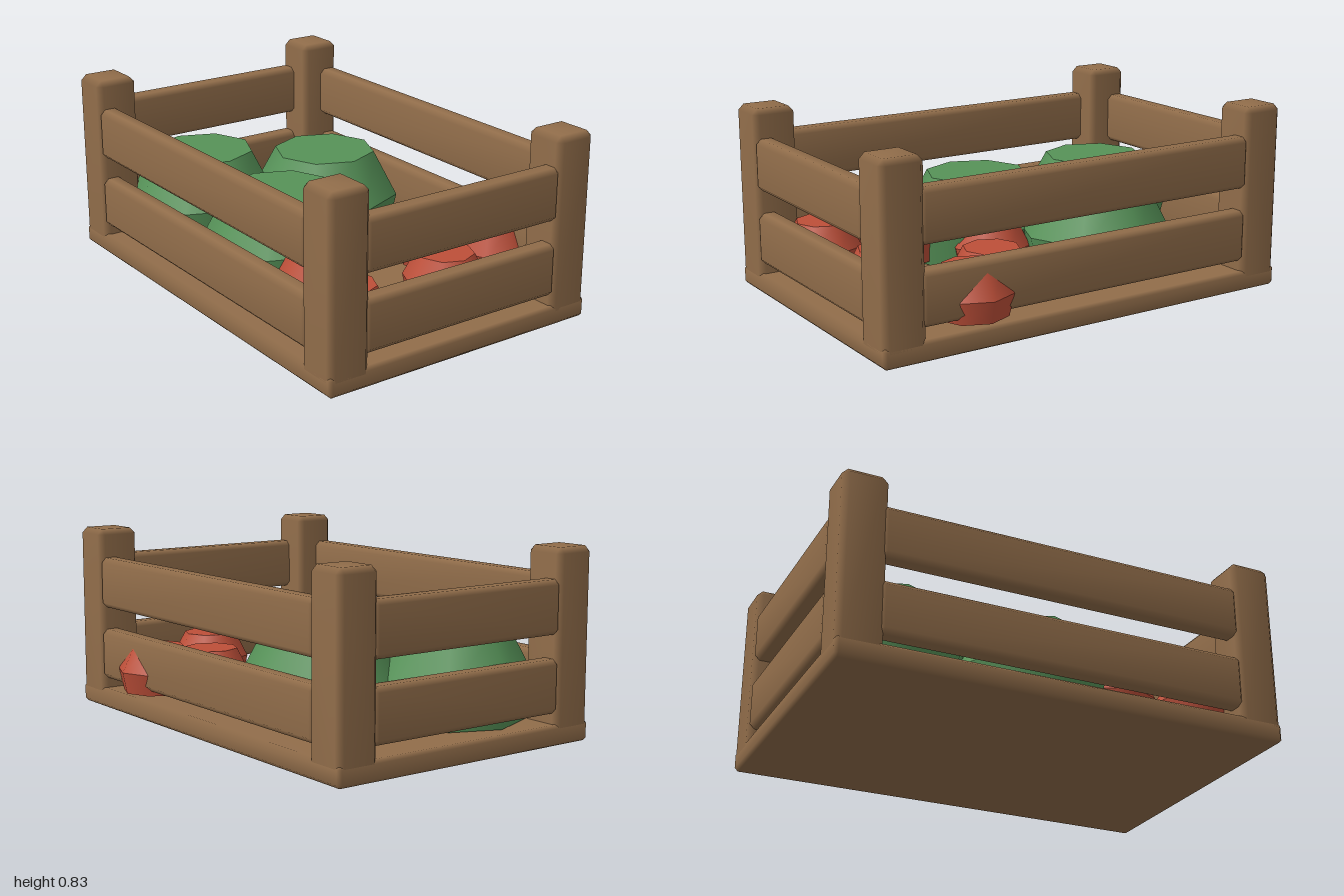
import * as THREE from 'three';
import { mergeVertices } from 'three/addons/utils/BufferGeometryUtils.js';
import { ConvexGeometry } from 'three/addons/geometries/ConvexGeometry.js';

const material = (name, color) => {
  const m = new THREE.MeshStandardMaterial({ color });
  m.name = name;
  return m;
};

// Box with chamfered edges and softly blended normals
function chamferBox(w, h, d, c) {
  const points = [];
  for (const x of [-w / 2, w / 2]) for (const y of [-h / 2, h / 2]) for (const z of [-d / 2, d / 2]) {
    const cx = Math.sign(x) * c, cy = Math.sign(y) * c, cz = Math.sign(z) * c;
    points.push(
      new THREE.Vector3(x, y - cy, z - cz),
      new THREE.Vector3(x - cx, y, z - cz),
      new THREE.Vector3(x - cx, y - cy, z));
  }
  let geometry = new ConvexGeometry(points);
  geometry.deleteAttribute('normal');
  geometry = mergeVertices(geometry, 1e-4);
  geometry.computeVertexNormals();
  return geometry;
}

export function createModel() {
  const wood = material('wood', 0x916d4a);
  const green = material('cabbage green', 0x569258);
  const red = material('tomato red', 0xbd4f39);
  const model = new THREE.Group();
  model.name = 'vegetableCrate';

  function add(parent, name, geometry, mat, x, y, z) {
    const mesh = new THREE.Mesh(geometry, mat);
    mesh.name = name;
    mesh.position.set(x, y, z);
    parent.add(mesh);
    return mesh;
  }

  // Wooden crate, centred slightly forward
  const crate = new THREE.Group();
  crate.name = 'crate';
  crate.position.z = 0.025;
  model.add(crate);
  add(crate, 'floor', chamferBox(2, 0.09, 1.33, 0.015), wood, 0, 0.045, 0);

  const postGeometry = chamferBox(0.196, 0.79, 0.194, 0.025);
  const longSlat = chamferBox(1.65, 0.23, 0.094, 0.022);
  const shortSlat = chamferBox(0.094, 0.23, 0.985, 0.022);
  for (const side of [-1, 1]) {
    for (const end of [-1, 1]) add(crate, 'cornerPost', postGeometry, wood, side * 0.902, 0.435, end * 0.568);
    for (const y of [0.252, 0.585]) {
      add(crate, side > 0 ? 'frontSlat' : 'backSlat', longSlat, wood, 0, y, side * 0.613);
      add(crate, side > 0 ? 'leftSlat' : 'rightSlat', shortSlat, wood, side * 0.949, y, 0);
    }
  }

  // Eight-sided vegetable: flat top, widest near the middle, flat bottom
  function vegetable(name, mat, x, z, bottom, r) {
    const group = new THREE.Group();
    group.name = name;
    group.position.set(x, bottom, z);
    const lower = r * 0.53, upper = r * 0.6;
    add(group, 'lowerHalf', new THREE.CylinderGeometry(r, r * 0.88, lower, 8), mat, 0, lower / 2, 0);
    add(group, 'upperHalf', new THREE.CylinderGeometry(r * 0.68, r, upper, 8), mat, 0, lower + upper / 2, 0);
    model.add(group);
    return group;
  }

  for (const [x, z] of [[-0.635, 0.25], [0.03, 0.25], [-0.305, -0.21]]) vegetable('cabbage', green, x, z, 0.095, 0.342);

  const tomatoes = [[0.53, -0.51], [0.33, -0.35], [0.7, -0.115], [0.1, 0.02], [0.4, 0.32], [0.73, 0.415]];
  for (const [x, z] of tomatoes) {
    const tomato = vegetable('tomato', red, x, z, 0.113, 0.18);
    tomato.scale.y = 1.02;
  }

  return model;
}
